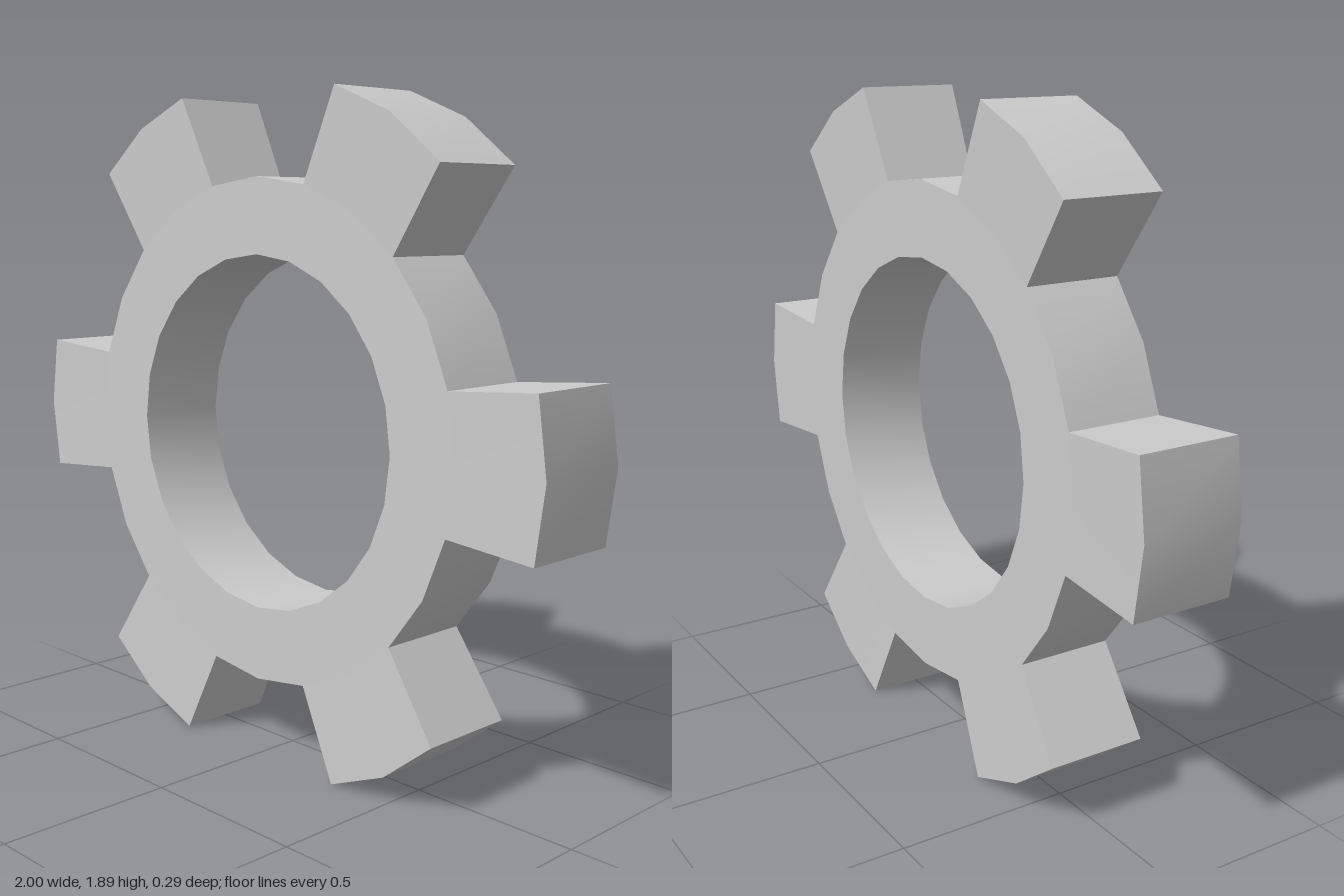
import * as THREE from 'three';
import { toCreasedNormals } from 'three/addons/utils/BufferGeometryUtils.js';

const STEPS = 24, TEETH = 6, CENTRE_Y = 0.95;
const HOLE_R = 0.505, ROOT_R = 0.718, TIP_R = 1, TIP_CORNER_R = 0.993;
const ROOT_Z = 0.139, TIP_Z = 0.147;
const STEP = (Math.PI * 2) / STEPS;
const TIP_HALF_ANGLE = THREE.MathUtils.degToRad(12);

const polar = (r, a, z) => [r * Math.cos(a), r * Math.sin(a), z];

// Two triangles, corners counter-clockwise seen from outside
const quad = (out, a, b, c, d) => out.push(...a, ...b, ...c, ...a, ...c, ...d);

function makeMesh(name, positions, material) {
  const geometry = new THREE.BufferGeometry();
  geometry.setAttribute('position', new THREE.Float32BufferAttribute(positions, 3));
  const mesh = new THREE.Mesh(toCreasedNormals(geometry, 0.38), material);
  mesh.name = name;
  return mesh;
}

// Flat annulus with hole wall, and outer wall only between the teeth
function ringPositions() {
  const out = [];
  for (let i = 0; i < STEPS; i++) {
    const a = i * STEP, b = a + STEP;
    const inner = [polar(HOLE_R, a, ROOT_Z), polar(HOLE_R, b, ROOT_Z), polar(HOLE_R, b, -ROOT_Z), polar(HOLE_R, a, -ROOT_Z)];
    const outer = [polar(ROOT_R, a, ROOT_Z), polar(ROOT_R, b, ROOT_Z), polar(ROOT_R, b, -ROOT_Z), polar(ROOT_R, a, -ROOT_Z)];
    quad(out, inner[0], outer[0], outer[1], inner[1]); // front
    quad(out, inner[3], inner[2], outer[2], outer[3]); // back
    quad(out, ...inner); // hole wall
    if (i % 4 === 1 || i % 4 === 2) quad(out, outer[0], outer[3], outer[2], outer[1]);
  }
  return out;
}

// One tooth pointing along +x, slightly thicker at the tip
function toothPositions() {
  const out = [];
  const root = (k, s) => polar(ROOT_R, k * STEP, s * ROOT_Z);
  const tip = (k, s) => polar(k ? TIP_CORNER_R : TIP_R, k * TIP_HALF_ANGLE, s * TIP_Z);
  for (const k of [-1, 0]) {
    quad(out, root(k, 1), tip(k, 1), tip(k + 1, 1), root(k + 1, 1)); // front
    quad(out, root(k, -1), root(k + 1, -1), tip(k + 1, -1), tip(k, -1)); // back
    quad(out, tip(k, 1), tip(k, -1), tip(k + 1, -1), tip(k + 1, 1)); // tip
  }
  quad(out, root(1, 1), tip(1, 1), tip(1, -1), root(1, -1)); // flanks
  quad(out, root(-1, 1), root(-1, -1), tip(-1, -1), tip(-1, 1));
  return out;
}

export function createModel() {
  const model = new THREE.Group();
  model.name = 'gear';
  const material = new THREE.MeshStandardMaterial({ color: 0xcccccc });

  const wheel = new THREE.Group();
  wheel.name = 'gearWheel';
  wheel.position.y = CENTRE_Y;
  wheel.add(makeMesh('ring', ringPositions(), material));

  const tooth = makeMesh('tooth', toothPositions(), material);
  for (let i = 0; i < TEETH; i++) {
    const copy = tooth.clone();
    copy.name = `tooth${i + 1}`;
    copy.rotation.z = (i * Math.PI * 2) / TEETH;
    wheel.add(copy);
  }

  model.add(wheel);
  return model;
}
